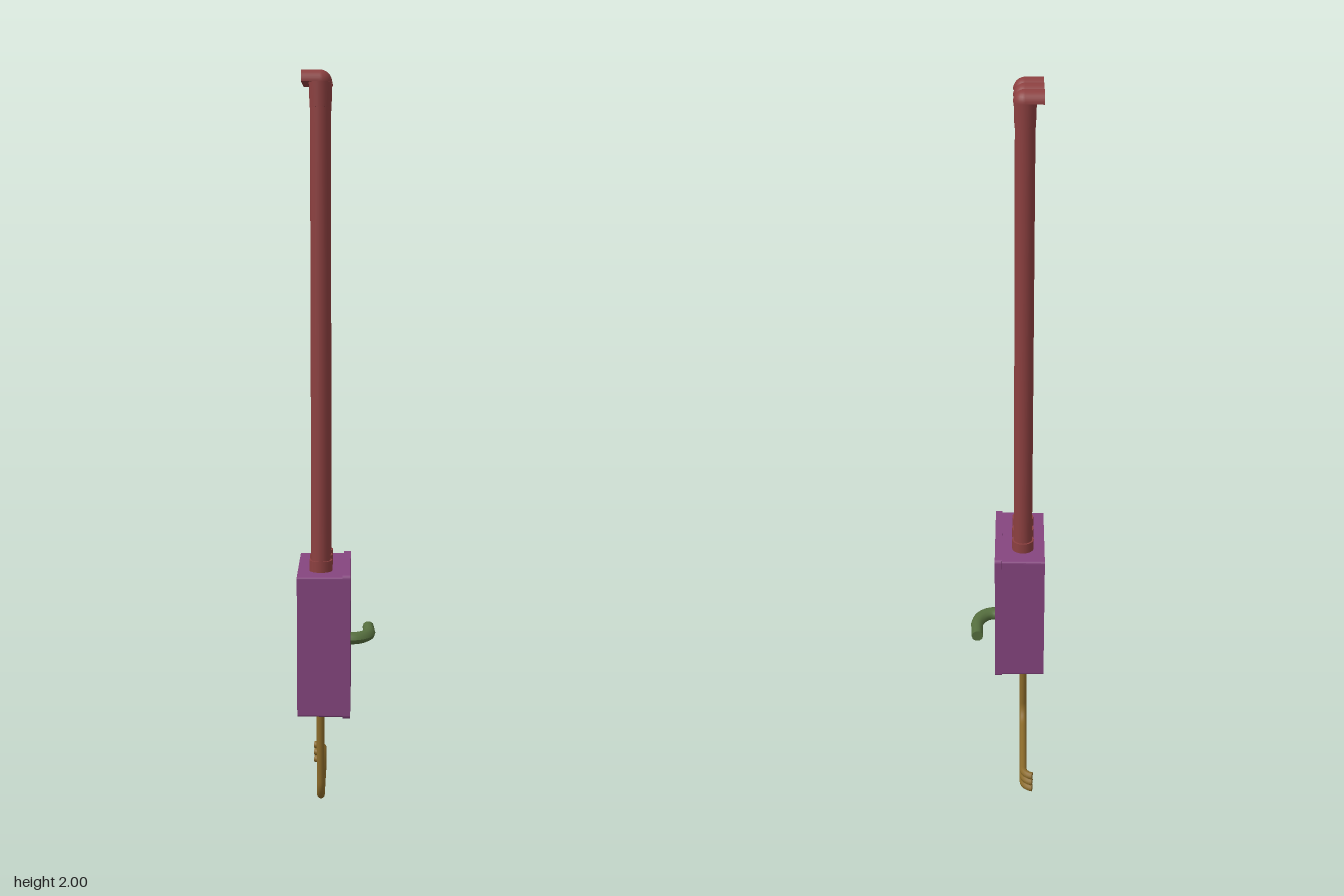
import * as THREE from 'three';

const mat = (color) => new THREE.MeshStandardMaterial({ color, side: THREE.DoubleSide });
const purple = mat(0x85457f), red = mat(0x8c4040), gold = mat(0x8a6a2a), green = mat(0x566f3f);
const V = (x, y, z) => new THREE.Vector3(x, y, z);

function add(parent, name, geometry, material, x = 0, y = 0, z = 0) {
  const mesh = new THREE.Mesh(geometry, material);
  mesh.name = name;
  mesh.position.set(x, y, z);
  parent.add(mesh);
  return mesh;
}

// Plate with rounded corners in the y-z plane, extruded along x from 0 to depth
function roundedPlate(depth, h, w, r) {
  const a = w / 2, b = h / 2, s = new THREE.Shape();
  s.absarc(a - r, b - r, r, 0, Math.PI / 2);
  s.absarc(r - a, b - r, r, Math.PI / 2, Math.PI);
  s.absarc(r - a, r - b, r, Math.PI, Math.PI * 1.5);
  s.absarc(a - r, r - b, r, Math.PI * 1.5, Math.PI * 2);
  s.closePath();
  return new THREE.ExtrudeGeometry(s, { depth, bevelEnabled: false, curveSegments: 3 }).rotateY(Math.PI / 2);
}

// Straight runs joined by smooth bends; each corner is [before, corner, after]
function bentPath(start, corners, end) {
  const path = new THREE.CurvePath();
  let from = start;
  for (const [p, c, q] of corners) {
    if (from.distanceTo(p) > 1e-4) path.add(new THREE.LineCurve3(from, p));
    // Cubic handles give a near-circular bend
    path.add(new THREE.CubicBezierCurve3(p, p.clone().lerp(c, 0.55), q.clone().lerp(c, 0.55), q));
    from = q;
  }
  if (from.distanceTo(end) > 1e-4) path.add(new THREE.LineCurve3(from, end));
  return path;
}

// Flat disc closing the far end of a tube
function endCap(parent, name, path, radius, sides, material) {
  const p = path.getPointAt(1), t = path.getTangentAt(1);
  const cap = add(parent, name, new THREE.CircleGeometry(radius, sides), material, p.x, p.y, p.z);
  cap.quaternion.setFromUnitVectors(V(0, 0, 1), t);
}

// Conduit with a base collar and a hooded head opening toward -x
function conduit(z) {
  const g = new THREE.Group();
  g.name = 'conduit';
  const x = -0.045, r = 0.031, top = 1.969;
  add(g, 'conduitPipe', new THREE.CylinderGeometry(0.026, 0.026, 1.27, 24), red, x, 1.315, z);
  add(g, 'baseCollar', new THREE.CylinderGeometry(r, r, 0.035, 24), red, x, 0.695, z);
  add(g, 'headCollar', new THREE.CylinderGeometry(0.029, 0.027, top - 1.905, 24), red, x, (top + 1.905) / 2, z);
  add(g, 'headDome', new THREE.SphereGeometry(r, 24, 8, 0, Math.PI * 2, 0, Math.PI / 2), red, x, top, z);
  const arch = new THREE.Shape();
  arch.absarc(0, 0, r, 0, Math.PI);
  arch.closePath();
  const hood = new THREE.ExtrudeGeometry(arch, { depth: 0.048, bevelEnabled: false, curveSegments: 16 });
  add(g, 'headHood', hood.rotateY(-Math.PI / 2), red, x, top, z);
  return g;
}

// Cable dropping from the box, turning to the back, then hooking toward -x
function cable(i) {
  const g = new THREE.Group();
  g.name = 'cable';
  const x = -0.048, r = 0.0105, bend = 0.055;
  const z = 0.105 - i * 0.0225, y = r + i * 0.022;
  const path = bentPath(V(x, 0.32, z), [
    [V(x, y + bend, z), V(x, y, z), V(x, y, z - bend)],
    [V(x, y, -0.195), V(x, y, -0.219), V(-0.074, y, -0.225)],
  ], V(-0.074, y, -0.225));
  add(g, 'cableRun', new THREE.TubeGeometry(path, 90, r, 12), gold);
  endCap(g, 'cableEnd', path, r, 12, gold);
  return g;
}

export function createModel() {
  const model = new THREE.Group();
  model.name = 'electricalBox';

  // Box and its slightly larger cover
  add(model, 'boxBody', roundedPlate(0.122, 0.386, 0.291, 0.006), purple, -0.107, 0.49, 0.083);
  add(model, 'boxCover', roundedPlate(0.02, 0.396, 0.298, 0.01), purple, 0.015, 0.491, 0.083);

  for (let i = 0; i < 3; i++) {
    model.add(conduit(0.017 + i * 0.0655));
    model.add(cable(i));
  }

  // Curved lever on the cover, thicker at its root
  const lever = new THREE.Group();
  lever.name = 'lever';
  const y = 0.457, segs = 24, sides = 10;
  const path = bentPath(V(0.03, y, 0.022),
    [[V(0.04, y, 0.022), V(0.09, y, 0.018), V(0.087, y, -0.045)]], V(0.085, y, -0.098));
  const tube = new THREE.TubeGeometry(path, segs, 0.0165, sides);
  const pos = tube.attributes.position;
  for (let i = 0; i < pos.count; i++) {
    const t = Math.floor(i / (sides + 1)) / segs, c = path.getPointAt(t);
    const k = 1 + 0.38 * Math.max(0, 1 - t * 1.3);
    pos.setX(i, c.x + (pos.getX(i) - c.x) * k);
    pos.setZ(i, c.z + (pos.getZ(i) - c.z) * k);
  }
  tube.computeVertexNormals();
  add(lever, 'leverArm', tube, green);
  endCap(lever, 'leverEnd', path, 0.0165, sides, green);
  model.add(lever);

  return model;
}
